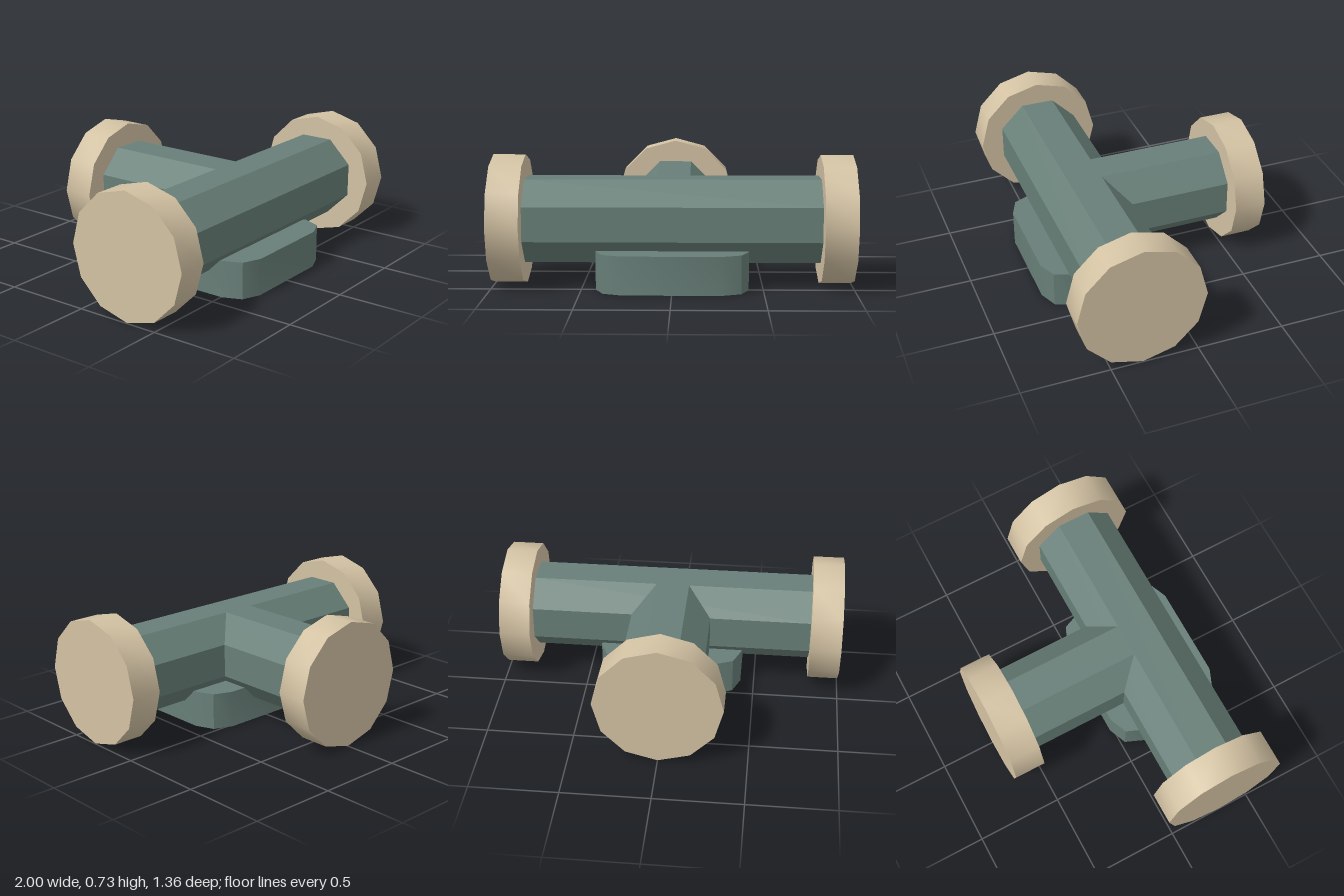
import * as THREE from 'three';
import { toCreasedNormals } from 'three/addons/utils/BufferGeometryUtils.js';

const AXIS_Y = 0.365, AXIS_Z = 0.318;   // centre line of the main pipe
const PIPE_R = 0.251, FLANGE_R = 0.362, FLANGE_T = 0.18;

export function createModel() {
  const group = new THREE.Group();
  group.name = 'pipeTee';

  const teal = new THREE.MeshStandardMaterial({ color: 0x687f78 });
  teal.name = 'grey green';
  const tan = new THREE.MeshStandardMaterial({ color: 0xd3c2a3 });
  tan.name = 'tan';

  function add(name, geometry, material, x, y, z) {
    const mesh = new THREE.Mesh(toCreasedNormals(geometry, 0.6), material);
    mesh.name = name;
    mesh.position.set(x, y, z);
    group.add(mesh);
  }

  // Prism lying along x or z; turn rotates the section about its axis
  function prism(radius, length, sides, turn, axis) {
    const g = new THREE.CylinderGeometry(radius, radius, length, sides, 1, false, turn);
    return axis === 'x' ? g.rotateZ(Math.PI / 2) : g.rotateX(Math.PI / 2);
  }

  // Main pipe, and a branch that meets the edge of its flat top
  add('mainPipe', prism(PIPE_R, 1.66, 8, Math.PI / 8, 'x'), teal, 0, AXIS_Y + 0.002, AXIS_Z);
  const branchFront = AXIS_Z - 0.096, branchBack = -0.51;
  add('branchPipe', prism(PIPE_R, branchFront - branchBack, 8, Math.PI / 8, 'z'), teal,
    0, AXIS_Y + 0.002, (branchFront + branchBack) / 2);

  // End flanges
  for (const [name, side] of [['leftFlange', 1], ['rightFlange', -1]]) {
    add(name, prism(FLANGE_R, FLANGE_T, 12, 0, 'x'), tan, side * (1 - FLANGE_T / 2), AXIS_Y, AXIS_Z);
  }
  add('backFlange', prism(FLANGE_R, FLANGE_T, 12, 0, 'z'), tan, 0, AXIS_Y, -0.59);

  // Foot: rectangle with two-segment rounded corners
  const halfW = 0.42, halfD = 0.337, r = 0.15;
  const outline = [];
  [[1, 1], [-1, 1], [-1, -1], [1, -1]].forEach(([sx, sy], corner) => {
    for (let j = 0; j < 3; j++) {
      const a = corner * Math.PI / 2 + j * Math.PI / 4;
      outline.push(new THREE.Vector2(
        sx * (halfW - r) + r * Math.cos(a), sy * (halfD - r) + r * Math.sin(a)));
    }
  });
  const foot = new THREE.ExtrudeGeometry(new THREE.Shape(outline), { depth: 0.213, bevelEnabled: false });
  add('foot', foot.rotateX(-Math.PI / 2), teal, 0, 0, AXIS_Z);

  return group;
}
